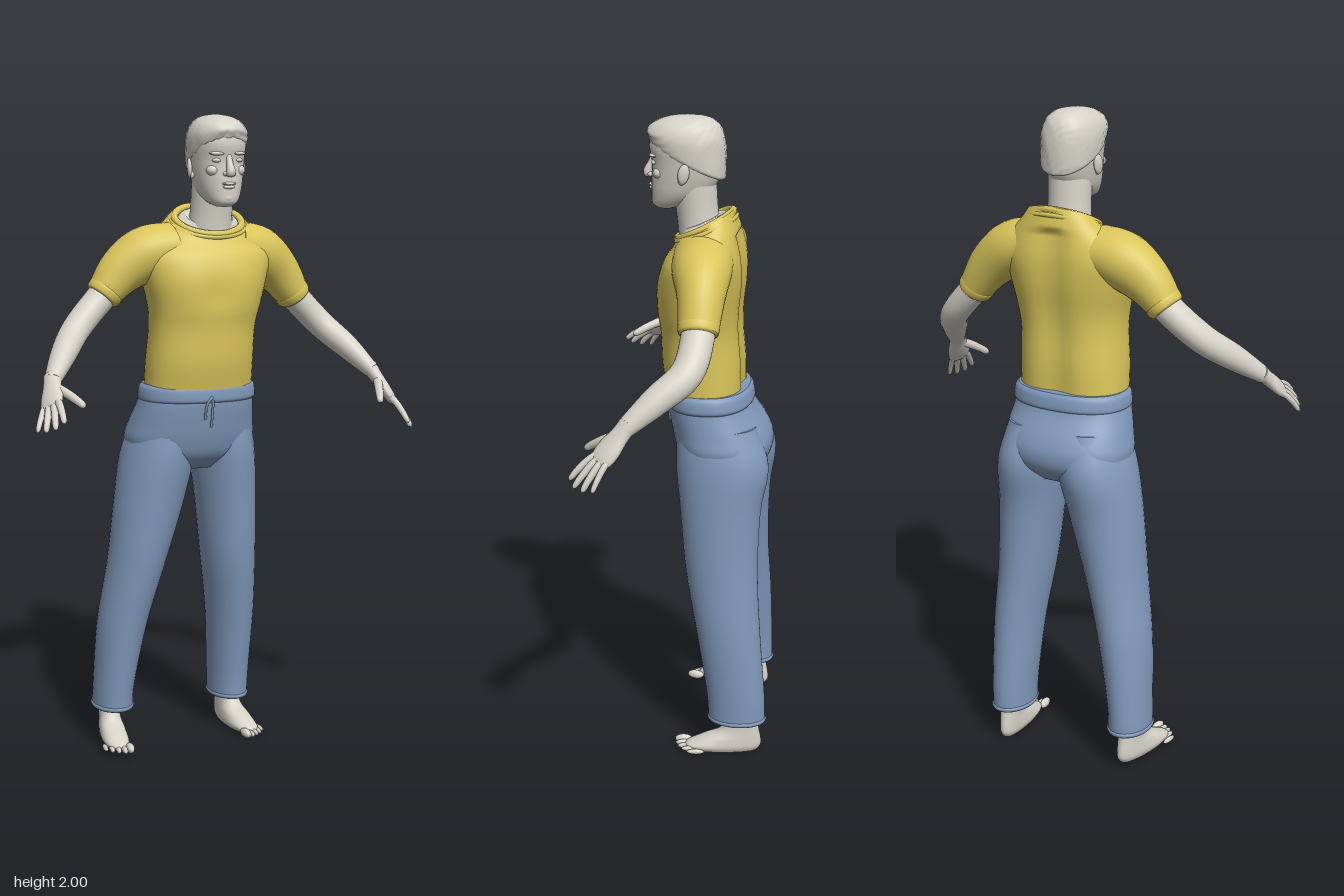
import * as THREE from 'three';

const mat = (name, color, side = THREE.FrontSide) => {
  const m = new THREE.MeshStandardMaterial({ color, side });
  m.name = name;
  return m;
};
const V = (a) => new THREE.Vector3(...a);

// Smooth skin through rows of [x, y, z, halfWidth, halfDepth, tilt].
// level: rings stay horizontal; otherwise they follow the path, with "ref" as the width axis.
function sweep(rows, { level = false, ref = [0, 0, 1], n = 28, sub = 5, pow = 2, caps = true, rule } = {}) {
  const path = new THREE.CatmullRomCurve3(rows.map((r) => V(r.slice(0, 3))), false, 'catmullrom', 0.5);
  const size = new THREE.CatmullRomCurve3(rows.map((r) => V([r[3], r[4] ?? r[3], r[5] ?? 0])), false, 'catmullrom', 0.5);
  const steps = (rows.length - 1) * sub, pos = [], idx = [];
  const up = Math.sign(rows.at(-1)[1] - rows[0][1]);
  const round = (c) => Math.sign(c) * Math.abs(c) ** (2 / pow);
  for (let i = 0; i <= steps; i++) {
    const c = path.getPoint(i / steps), s = size.getPoint(i / steps);
    const t = level ? new THREE.Vector3(0, up, 0) : path.getTangent(i / steps);
    const u = level ? new THREE.Vector3(1, 0, 0) : V(ref).addScaledVector(t, -V(ref).dot(t)).normalize();
    const v = t.clone().cross(u);
    for (let j = 0; j < n; j++) {
      const a = (j / n) * Math.PI * 2;
      const p = c.clone().addScaledVector(u, round(Math.cos(a)) * s.x).addScaledVector(v, round(Math.sin(a)) * s.y);
      p.y += s.z * (p.z - c.z);
      if (rule) rule(p, c);
      pos.push(p.x, p.y, p.z);
      if (i < steps) {
        const k = i * n + j, l = i * n + ((j + 1) % n);
        idx.push(k, l, l + n, k, l + n, k + n);
      }
    }
  }
  // flat end caps with their own corners
  if (caps) for (const [row, flip] of [[0, true], [steps, false]]) {
    const ring = pos.slice(row * n * 3, (row + 1) * n * 3), base = pos.length / 3, mid = [0, 0, 0];
    ring.forEach((q, k) => { mid[k % 3] += q / n; });
    pos.push(...ring, ...mid);
    for (let j = 0; j < n; j++) {
      const a = base + j, b = base + ((j + 1) % n);
      idx.push(base + n, ...(flip ? [b, a] : [a, b]));
    }
  }
  const g = new THREE.BufferGeometry();
  g.setAttribute('position', new THREE.Float32BufferAttribute(pos, 3));
  g.setIndex(idx);
  g.computeVertexNormals();
  return g;
}

export function createModel() {
  const model = new THREE.Group();
  const skin = mat('skin', 0xd6d2c8), shirt = mat('yellow shirt', 0xd9c55a, THREE.DoubleSide), denim = mat('blue trousers', 0x8099ba);
  const add = (name, geo, m, parent = model) => {
    const mesh = new THREE.Mesh(geo, m);
    mesh.name = name;
    parent.add(mesh);
    return mesh;
  };
  const ball = (name, p, s, parent = model) => {
    const b = add(name, new THREE.SphereGeometry(1, 16, 12), skin, parent);
    b.position.set(...p);
    b.scale.set(...s);
    return b;
  };

  // Shirt body, with a groove down the back and a soft chest line
  add('shirtBody', sweep([
    [-0.012, 1.165, -0.082, 0.172, 0.12], [-0.01, 1.25, -0.074, 0.17, 0.127], [-0.004, 1.35, -0.068, 0.168, 0.125],
    [0.002, 1.42, -0.064, 0.178, 0.13], [0.004, 1.5, -0.068, 0.198, 0.133], [0.008, 1.57, -0.078, 0.212, 0.122],
    [0.012, 1.62, -0.086, 0.185, 0.104, -0.1], [0.018, 1.66, -0.085, 0.14, 0.092, -0.3], [0.022, 1.685, -0.08, 0.112, 0.085, -0.5],
  ], {
    level: true, n: 48, pow: 2.3, caps: false, rule: (p, c) => {
      const mid = Math.exp(-(((p.x - c.x) / 0.05) ** 2));
      if (p.z < c.z - 0.04 && p.y < 1.66) p.z += 0.018 * mid;
      if (p.z > c.z + 0.04) p.z -= 0.008 * mid * Math.exp(-(((p.y - 1.46) / 0.06) ** 2));
    },
  }), shirt);
  const loop = (name, x, y, z, rx, rz, tilt, r, m) => {
    const pts = Array.from({ length: 24 }, (_, i) => {
      const a = (i / 24) * Math.PI * 2;
      return new THREE.Vector3(x + rx * Math.cos(a), y + tilt * rz * Math.sin(a), z + rz * Math.sin(a));
    });
    add(name, new THREE.TubeGeometry(new THREE.CatmullRomCurve3(pts, true), 64, r, 8, true), m);
  };
  loop('collar', 0.022, 1.678, -0.079, 0.107, 0.08, -0.5, 0.012, shirt);
  loop('collarSeam', 0.021, 1.667, -0.081, 0.124, 0.088, -0.42, 0.008, shirt);

  // Trousers: seat, waistband and drawstring
  add('trouserSeat', sweep([
    [-0.012, 1.175, -0.092, 0.174, 0.122], [-0.015, 1.12, -0.095, 0.185, 0.13], [-0.02, 1.05, -0.122, 0.2, 0.146],
    [-0.022, 1.0, -0.136, 0.208, 0.148], [-0.025, 0.95, -0.14, 0.185, 0.132], [-0.015, 0.905, -0.138, 0.1, 0.085],
  ], { level: true, n: 40, pow: 2.3 }), denim);
  add('waistband', sweep([
    [-0.012, 1.124, -0.093, 0.182, 0.127], [-0.012, 1.135, -0.093, 0.188, 0.133],
    [-0.012, 1.165, -0.091, 0.184, 0.13], [-0.012, 1.178, -0.09, 0.174, 0.122],
  ], { level: true, n: 40, pow: 2.3 }), denim);
  for (const [dx, len] of [[-0.016, 0.045], [0.004, 0.07]]) {
    add('drawstring', sweep([[-0.012, 1.145, 0.041, 0.004], [-0.015 + dx, 1.12, 0.043, 0.004], [-0.018 + dx, 1.12 - len, 0.036, 0.004]], { n: 8 }), denim);
  }

  // Trouser legs
  const legs = {
    right: [[-0.11, 1.07, -0.125, 0.09, 0.12], [-0.128, 0.95, -0.14, 0.114, 0.142], [-0.158, 0.8, -0.137, 0.11, 0.126],
      [-0.2, 0.6, -0.143, 0.091, 0.112], [-0.243, 0.4, -0.162, 0.078, 0.1], [-0.268, 0.2, -0.176, 0.064, 0.09], [-0.272, 0.12, -0.18, 0.063, 0.087]],
    left: [[0.08, 1.07, -0.125, 0.09, 0.12], [0.094, 0.95, -0.145, 0.1, 0.142], [0.105, 0.8, -0.142, 0.096, 0.124],
      [0.118, 0.6, -0.15, 0.087, 0.112], [0.135, 0.4, -0.175, 0.076, 0.1], [0.14, 0.2, -0.2, 0.066, 0.092], [0.14, 0.105, -0.205, 0.062, 0.09]],
  };
  for (const side in legs) {
    add(side + 'TrouserLeg', sweep(legs[side], { level: true, n: 32 }), denim);
    const [x, y, z, rx, rz] = legs[side].at(-1);
    loop(side + 'TrouserHem', x, y + 0.008, z, rx - 0.004, rz - 0.004, 0, 0.008, denim);
  }

  // Feet, wider at the ball, with five toes
  for (const [side, s, x, y, z, turn] of [['right', -1, -0.283, 0.018, -0.178, -0.12], ['left', 1, 0.146, 0, -0.208, 0.12]]) {
    const foot = new THREE.Group();
    foot.name = side + 'Foot';
    foot.position.set(x, y, z);
    foot.rotation.y = turn;
    model.add(foot);
    add('foot', sweep([[0, 0.003, 0.045, 0.03, 0.108], [0, 0.02, 0.045, 0.037, 0.12], [0, 0.045, 0.02, 0.036, 0.095],
      [0, 0.08, -0.01, 0.033, 0.058], [0, 0.17, -0.012, 0.034, 0.042]],
    { level: true, pow: 2.3, rule: (p) => { p.x *= 1 + 2 * Math.max(-0.1, Math.min(p.z, 0.16)); } }), skin, foot);
    for (let i = 0; i < 5; i++) {
      const r = i ? 0.011 - i * 0.0006 : 0.015;
      ball('toe', [s * (-0.03 + i * 0.018), r, 0.172 - i * i * 0.0025], [r * 0.85, r, 0.028], foot);
    }
  }

  // Sleeves, arms and hands
  const arms = {
    right: {
      sleeve: [[-0.09, 1.6, -0.085, 0.09, 0.075], [-0.18, 1.578, -0.088, 0.088, 0.085], [-0.26, 1.528, -0.087, 0.07, 0.073], [-0.325, 1.455, -0.083, 0.056, 0.051]],
      arm: [[-0.25, 1.53, -0.085, 0.05], [-0.33, 1.45, -0.08, 0.049, 0.045], [-0.42, 1.365, -0.04, 0.048, 0.043], [-0.485, 1.3, 0.035, 0.043, 0.038], [-0.545, 1.235, 0.115, 0.029, 0.024]],
      wrist: [-0.545, 1.235, 0.115], index: [-0.565, 1.135, 0.295], pinky: [-0.625, 1.1, 0.22], thumb: [-0.49, 1.175, 0.25],
    },
    left: {
      sleeve: [[0.1, 1.6, -0.085, 0.09, 0.075], [0.19, 1.572, -0.095, 0.088, 0.085], [0.265, 1.515, -0.105, 0.07, 0.073], [0.332, 1.427, -0.108, 0.058, 0.051]],
      arm: [[0.26, 1.51, -0.1, 0.05], [0.34, 1.42, -0.108, 0.049, 0.045], [0.42, 1.335, -0.09, 0.048, 0.043], [0.475, 1.27, -0.015, 0.043, 0.038], [0.525, 1.2, 0.065, 0.029, 0.024]],
      wrist: [0.525, 1.2, 0.065], index: [0.577, 1.05, 0.222], pinky: [0.62, 1.03, 0.145], thumb: [0.49, 1.12, 0.19],
    },
  };
  for (const side in arms) {
    const { sleeve, arm, wrist, index, pinky, thumb } = arms[side];
    add(side + 'Sleeve', sweep(sleeve), shirt);
    // cuff band over the end of the sleeve
    const a = V(sleeve[2].slice(0, 3)), b = V(sleeve[3].slice(0, 3));
    const cuff = [[0.72, 0.056], [0.8, 0.061], [0.98, 0.058], [1.04, 0.051]].map(([t, r]) => [...a.clone().lerp(b, t).toArray(), r, r * 0.93]);
    add(side + 'Cuff', sweep(cuff), shirt);
    add(side + 'Arm', sweep(arm), skin);

    const hand = new THREE.Group();
    hand.name = side + 'Hand';
    model.add(hand);
    const w = V(wrist), tips = [0, 1, 2, 3].map((i) => V(index).lerp(V(pinky), i / 3));
    const across = V(index).sub(V(pinky)).normalize().toArray();
    const centre = V(index).lerp(V(pinky), 0.5);
    const at = (t, rx, ry) => [...w.clone().lerp(centre, t).toArray(), rx, ry];
    add('palm', sweep([at(-0.08, 0.028, 0.025), at(0.12, 0.03, 0.021), at(0.35, 0.038, 0.019), at(0.52, 0.036, 0.015), at(0.6, 0.022, 0.008)],
      { ref: across, n: 20 }), skin, hand);
    const digit = (name, from, to, r, bend) => {
      const row = (t, k) => {
        const p = from.clone().lerp(to, t);
        p.y += bend * Math.sin(t * Math.PI);
        return [...p.toArray(), r * k];
      };
      add(name, sweep([row(0, 1.1), row(0.35, 1.05), row(0.7, 0.95), row(0.93, 0.75), row(1, 0.1)], { ref: across, n: 10, sub: 3 }), skin, hand);
    };
    tips.forEach((tip, i) => {
      const reach = w.clone().lerp(tip, [0.97, 1.04, 1.03, 0.97][i]);
      digit('finger', w.clone().lerp(tip, 0.48), reach, i === 3 ? 0.009 : 0.0105, 0.008);
    });
    digit('thumb', w.clone().lerp(V(index), 0.14), V(thumb), 0.0135, 0.005);
  }

  // Neck and head
  const cx = 0.025;
  add('neckBase', sweep([[0.02, 1.6, -0.08, 0.1, 0.075, -0.3], [0.022, 1.668, -0.078, 0.1, 0.074, -0.5], [0.022, 1.69, -0.072, 0.075, 0.066, -0.4]], { level: true }), skin);
  add('neck', sweep([[0.02, 1.62, -0.07, 0.075, 0.07], [0.022, 1.7, -0.056, 0.066, 0.063], [cx, 1.8, -0.045, 0.066, 0.066]], { level: true }), skin);
  add('head', sweep([
    [cx, 1.724, 0.04, 0.022, 0.025], [cx, 1.738, 0.025, 0.045, 0.055], [cx, 1.77, -0.003, 0.064, 0.085], [cx, 1.81, -0.018, 0.074, 0.1],
    [cx, 1.86, -0.025, 0.081, 0.105], [cx, 1.91, -0.023, 0.084, 0.111], [cx, 1.955, -0.025, 0.075, 0.1], [cx, 1.985, -0.03, 0.05, 0.065], [cx, 1.993, -0.03, 0.01, 0.01],
  ], { level: true, n: 36, pow: 2.15 }), skin);
  // cropped hair, slightly uneven
  add('hair', sweep([
    [cx, 1.865, -0.026, 0.083, 0.106, 0.5], [cx, 1.88, -0.025, 0.088, 0.113, 0.48], [cx, 1.93, -0.022, 0.088, 0.116, 0.2],
    [cx, 1.968, -0.024, 0.073, 0.1, 0.06], [cx, 1.99, -0.026, 0.045, 0.064], [cx, 1.998, -0.026, 0.008, 0.008],
  ], {
    level: true, n: 56, sub: 6, pow: 2.15, rule: (p, c) => {
      const k = 1 + 0.018 * Math.sin(p.x * 190 + p.y * 90) * Math.sin(p.z * 170 + p.y * 140);
      p.x = c.x + (p.x - c.x) * k;
      p.z = c.z + (p.z - c.z) * k;
    },
  }), skin);
  add('nose', sweep([[cx, 1.88, 0.074, 0.008], [cx, 1.855, 0.084, 0.01], [cx, 1.828, 0.095, 0.014, 0.013], [cx, 1.817, 0.088, 0.013, 0.008]], { ref: [1, 0, 0], n: 16 }), skin);
  ball('upperLip', [cx, 1.793, 0.08], [0.023, 0.005, 0.01]);
  ball('lowerLip', [cx, 1.783, 0.078], [0.02, 0.006, 0.011]);
  ball('chin', [cx, 1.75, 0.064], [0.026, 0.018, 0.019]);
  for (const s of [-1, 1]) {
    ball('nostril', [cx + s * 0.012, 1.822, 0.083], [0.008, 0.007, 0.01]);
    ball('eye', [cx + s * 0.034, 1.862, 0.067], [0.015, 0.007, 0.011]);
    ball('brow', [cx + s * 0.035, 1.882, 0.071], [0.024, 0.006, 0.012]).rotation.y = s * 0.3;
    ball('cheek', [cx + s * 0.04, 1.832, 0.052], [0.022, 0.018, 0.02]);
    const ear = ball('ear', [cx + s * 0.085, 1.838, -0.027], [0.008, 0.03, 0.017]);
    ear.rotation.set(-0.15, s * 0.3, 0);
    ball('earLobe', [cx + s * 0.08, 1.816, -0.02], [0.007, 0.011, 0.01]);
  }
  return model;
}
